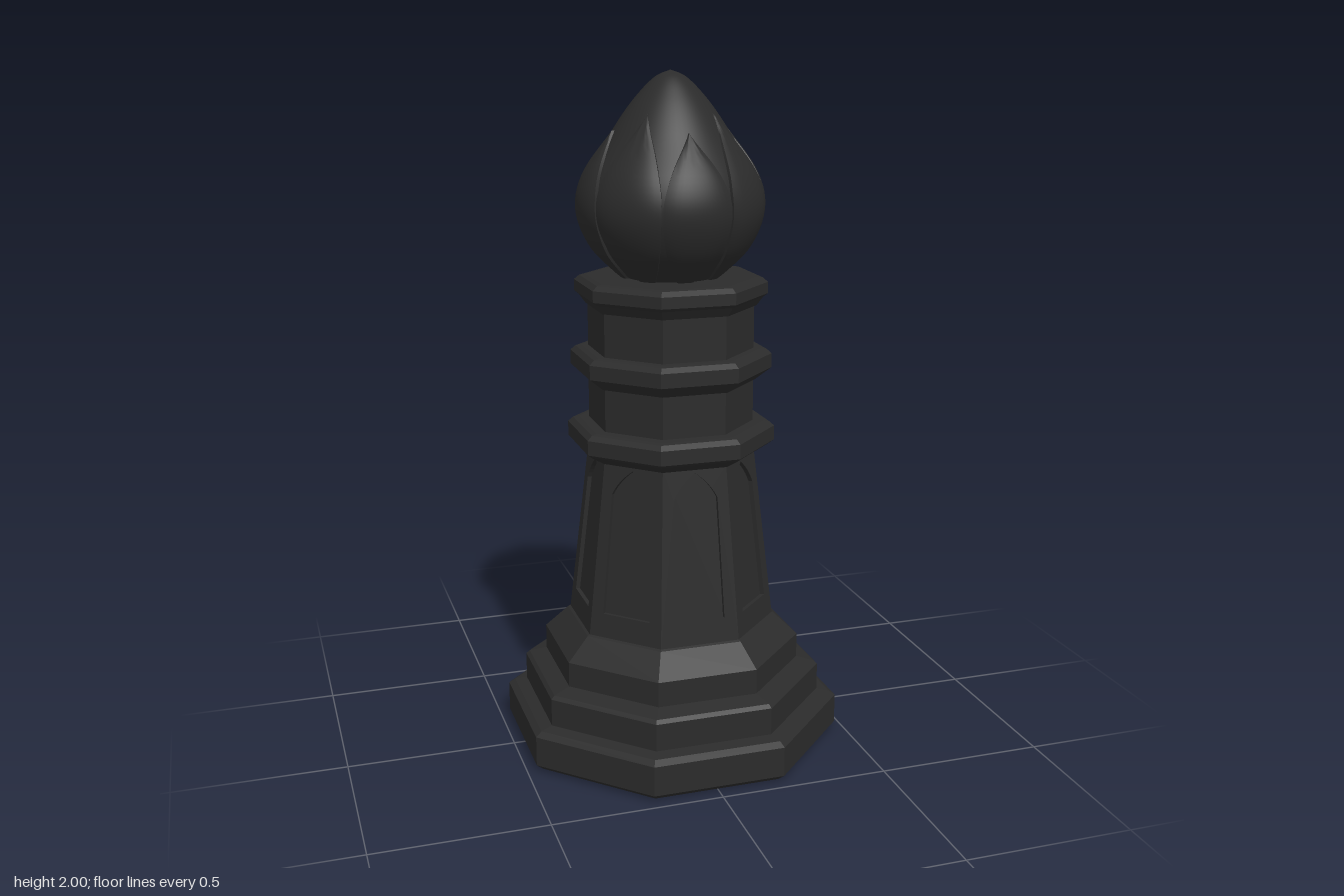
import * as THREE from 'three';
import { toCreasedNormals } from 'three/addons/utils/BufferGeometryUtils.js';

const OCT = Math.cos(Math.PI / 8);

export function createModel() {
  const black = new THREE.MeshStandardMaterial({ color: 0x2b2b2b });
  const model = new THREE.Group();
  const add = (name, geometry, parent = model) => {
    const mesh = new THREE.Mesh(geometry, black);
    mesh.name = name;
    parent.add(mesh);
    return mesh;
  };

  // Octagonal solid from [apothem, height] pairs, with flats facing the axes
  const octagon = (profile) => {
    const pts = profile.map(([a, y]) => new THREE.Vector2(a / OCT, y));
    const g = new THREE.LatheGeometry(pts, 8, Math.PI / 8).toNonIndexed();
    g.computeVertexNormals();
    return g;
  };

  // Stepped base
  add('base', octagon([
    [0, 0], [0.45, 0], [0.473, 0.02], [0.473, 0.11], [0.455, 0.123], [0.42, 0.13],
    [0.42, 0.212], [0.41, 0.222], [0.36, 0.235], [0.36, 0.31], [0.295, 0.375], [0.285, 0.38], [0, 0.38],
  ]));

  // Tapered shaft: inner core plus eight framed faces with pointed arch recesses
  const y0 = 0.375, y1 = 0.9, a0 = 0.288, a1 = 0.23, depth = 0.013;
  add('shaftCore', octagon([[a0 - depth, y0], [a1 - depth, y1]]));
  const tilt = Math.atan2(a0 - a1, y1 - y0);
  const slant = Math.hypot(a0 - a1, y1 - y0);
  const half = Math.tan(Math.PI / 8);
  const frame = new THREE.Shape([
    new THREE.Vector2(-a0 * half, 0), new THREE.Vector2(a0 * half, 0),
    new THREE.Vector2(a1 * half, slant), new THREE.Vector2(-a1 * half, slant),
  ]);
  const arch = new THREE.Path();
  arch.moveTo(-0.077, 0.075);
  arch.lineTo(-0.066, 0.435);
  arch.quadraticCurveTo(-0.045, 0.48, 0, 0.512);
  arch.quadraticCurveTo(0.045, 0.48, 0.066, 0.435);
  arch.lineTo(0.077, 0.075);
  arch.closePath();
  frame.holes.push(arch);
  const frameGeo = new THREE.ExtrudeGeometry(frame, { depth, bevelEnabled: false, curveSegments: 6 });
  frameGeo.translate(0, 0, -depth).rotateX(-tilt).translate(0, y0, a0);
  const shaft = new THREE.Group();
  shaft.name = 'shaftPanels';
  model.add(shaft);
  for (let i = 0; i < 8; i++) add('archPanel', frameGeo, shaft).rotation.y = i * Math.PI / 4;

  // Neck and its three collars
  add('neck', octagon([[0.226, 0.88], [0.226, 1.38]]));
  for (const [a, bottom, top] of [[0.285, 0.893, 0.988], [0.275, 1.113, 1.207], [0.262, 1.333, 1.418]]) {
    add('collar', octagon([
      [0, bottom], [0.232, bottom], [a - 0.012, bottom + 0.026], [a, bottom + 0.036],
      [a, top - 0.016], [a - 0.014, top - 0.003], [a - 0.03, top], [0, top],
    ]));
  }

  // Bud outline: radius at a height
  const outline = new THREE.SplineCurve([
    [0.12, 1.4], [0.165, 1.435], [0.235, 1.51], [0.272, 1.61], [0.253, 1.71],
    [0.178, 1.825], [0.1, 1.925], [0.045, 1.98], [0, 2],
  ].map(([r, y]) => new THREE.Vector2(r, y))).getPoints(96);
  const radiusAt = (y) => {
    let i = 1;
    while (i < outline.length - 1 && outline[i].y < y) i++;
    const p = outline[i - 1], q = outline[i];
    return THREE.MathUtils.mapLinear(y, p.y, q.y, p.x, q.x);
  };

  // Bud core, sunk slightly where the petals cover it
  const core = outline.map((p) => new THREE.Vector2(
    Math.max(0, p.x - 0.013 * (1 - THREE.MathUtils.smoothstep(p.y, 1.74, 1.93))), p.y));
  add('budCore', new THREE.LatheGeometry(core, 64));

  // Raised pointed petal: half width in radians along its length, edges turned into the core
  const width = new THREE.SplineCurve([
    [0, 0.16], [0.1, 0.29], [0.25, 0.36], [0.42, 0.38], [0.6, 0.365], [0.8, 0.25], [1, 0],
  ].map(([v, w]) => new THREE.Vector2(v, w)));
  const petal = (tip, scale) => {
    const cols = 14, rows = 28, pos = [], index = [];
    for (let j = 0; j <= rows; j++) {
      const p = width.getPoint(j / rows);
      const y = THREE.MathUtils.lerp(1.415, tip, p.x);
      for (let i = 0; i <= cols; i++) {
        const edge = i === 0 || i === cols;
        const u = THREE.MathUtils.clamp((i - 1) / (cols - 2) * 2 - 1, -1, 1);
        const r = radiusAt(y) + 0.002 - 0.005 * u ** 4 - (edge ? 0.025 : 0);
        const t = u * Math.max(0, p.y) * scale;
        pos.push(r * Math.sin(t), y, r * Math.cos(t));
        if (i < cols && j < rows) {
          const a = j * (cols + 1) + i, b = a + cols + 1;
          index.push(a, a + 1, b, a + 1, b + 1, b);
        }
      }
    }
    const g = new THREE.BufferGeometry();
    g.setAttribute('position', new THREE.Float32BufferAttribute(pos, 3));
    g.setIndex(index);
    return toCreasedNormals(g, 0.7);
  };
  const petals = new THREE.Group();
  petals.name = 'petals';
  model.add(petals);
  const kinds = [petal(1.835, 0.99), petal(1.885, 1.02)];
  for (let i = 0; i < 8; i++) add('petal', kinds[i % 2], petals).rotation.y = i * Math.PI / 4;

  return model;
}
